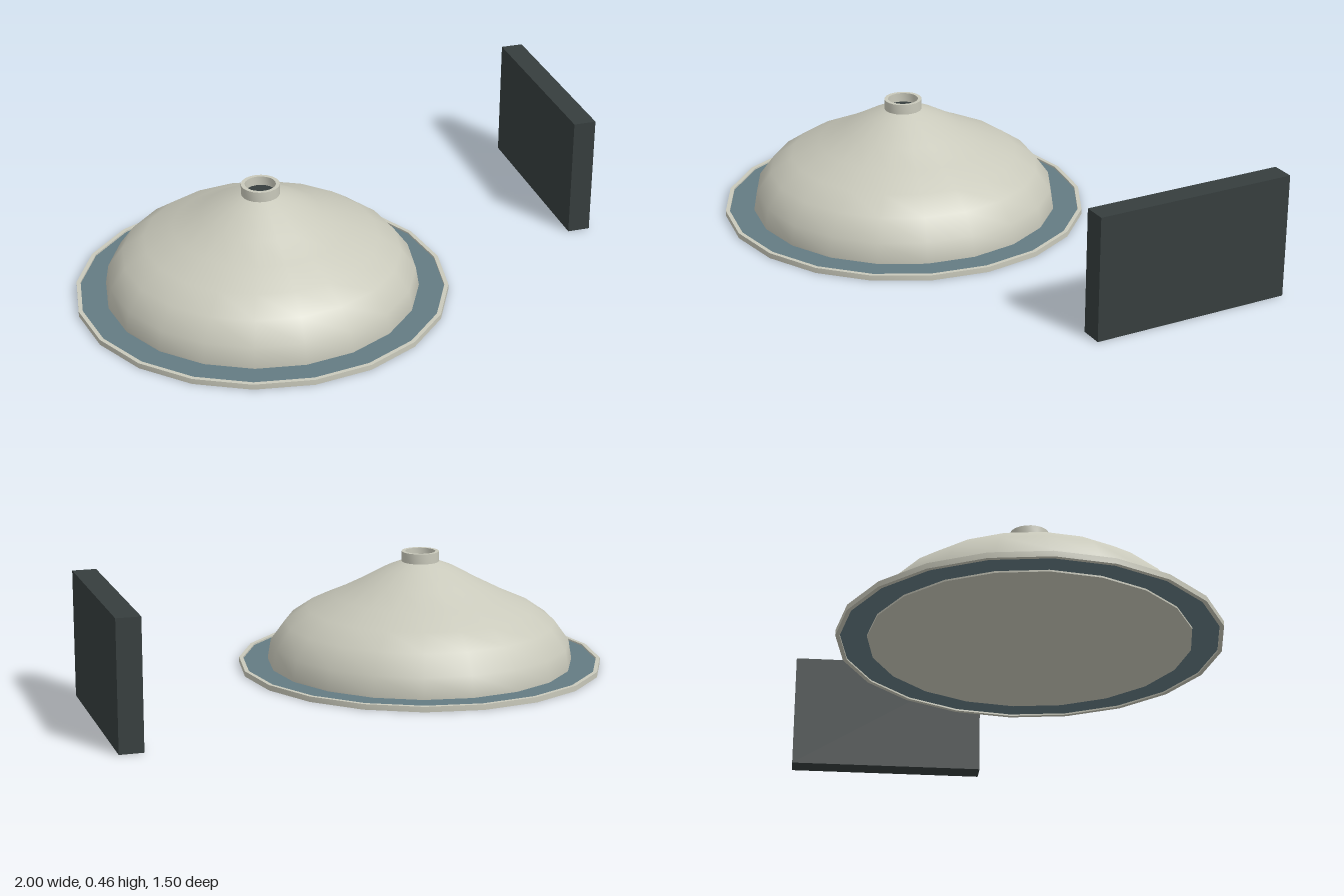
import * as THREE from 'three';
import { toCreasedNormals } from 'three/addons/utils/BufferGeometryUtils.js';

const SIDES = 20;

function material(name, color) {
  const m = new THREE.MeshStandardMaterial({ color });
  m.name = name;
  return m;
}

// Turned part from [radius, height] points, sharp only at strong bends
function turned(name, points, mat) {
  const profile = points.map(([r, y]) => new THREE.Vector2(r, y));
  const geo = toCreasedNormals(new THREE.LatheGeometry(profile, SIDES), 0.62);
  const mesh = new THREE.Mesh(geo, mat);
  mesh.name = name;
  return mesh;
}

export function createModel() {
  const cream = material('cream', 0xc9c9bb);
  const blue = material('slate blue', 0x647b83);
  const dark = material('dark slate', 0x363e3e);

  const model = new THREE.Group();
  model.name = 'domeAndPanel';

  const dome = new THREE.Group();
  dome.name = 'dome';
  dome.position.set(-0.32, 0, 0.065);
  model.add(dome);

  // Shell with closed base and hollow neck
  dome.add(turned('shell', [
    [0, 0], [0.57, 0], [0.572, 0.02], [0.56, 0.09], [0.505, 0.165],
    [0.425, 0.22], [0.32, 0.267], [0.22, 0.318], [0.13, 0.368], [0.07, 0.392],
    [0.07, 0.43], [0.056, 0.43], [0.056, 0.395],
  ], cream));

  // Dark floor of the neck opening
  const opening = new THREE.Mesh(new THREE.CircleGeometry(0.056, SIDES), dark);
  opening.name = 'neckOpening';
  opening.rotation.x = -Math.PI / 2;
  opening.position.y = 0.396;
  dome.add(opening);

  // Flat ring around the dome and its raised edge
  dome.add(turned('ring', [[0.56, 0.006], [0.67, 0.006], [0.67, 0.014], [0.56, 0.014]], blue));
  dome.add(turned('ringEdge', [
    [0.665, 0], [0.68, 0], [0.68, 0.02], [0.665, 0.02], [0.665, 0],
  ], cream));

  // Upright panel standing beside the dome
  const panel = new THREE.Mesh(new THREE.BoxGeometry(0.085, 0.455, 0.75), dark);
  panel.name = 'panel';
  panel.position.set(0.9575, 0.2275, -0.375);
  model.add(panel);

  return model;
}
